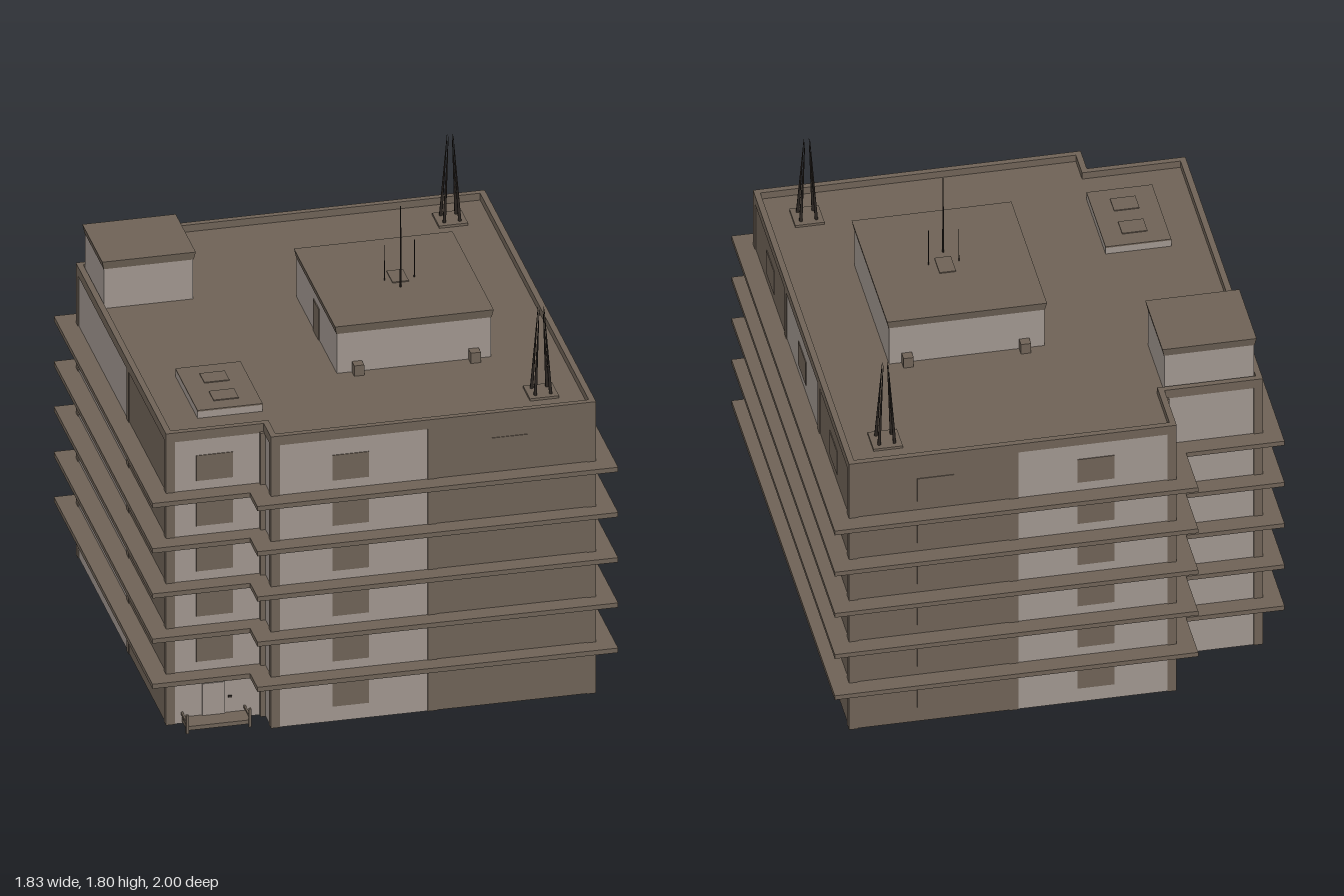
import * as THREE from 'three';

const mat = (name, color, side = THREE.FrontSide) => {
  const m = new THREE.MeshStandardMaterial({ color, side });
  m.name = name;
  return m;
};

export function createModel() {
  const root = new THREE.Group();
  root.name = 'apartmentBlock';
  const brown = mat('brown', 0x6f6357, THREE.DoubleSide);
  const light = mat('light render', 0xa0968f, THREE.DoubleSide);
  const dark = mat('dark metal', 0x2c2622);

  const add = (name, geo, m) => {
    const mesh = new THREE.Mesh(geo, m);
    mesh.name = name;
    root.add(mesh);
    return mesh;
  };
  // Box given by its limits on each axis
  const box = (name, m, x0, x1, y0, y1, z0, z1) => {
    const g = new THREE.BoxGeometry(x1 - x0, y1 - y0, z1 - z0);
    g.translate((x0 + x1) / 2, (y0 + y1) / 2, (z0 + z1) / 2);
    return add(name, g, m);
  };

  // Footprint with the narrower wing on -x, grown outward by o
  const footprint = o => [
    [-0.45 - o, -0.925 - o], [0.84 + o, -0.925 - o], [0.84 + o, 0.925 + o], [-0.45 - o, 0.925 + o],
    [-0.45 - o, 0.805 + o], [-0.84 - o, 0.805 + o], [-0.84 - o, -0.69 - o], [-0.45 - o, -0.69 - o],
  ].map(p => new THREE.Vector2(...p));
  const slab = (name, m, y0, y1, outer, inner) => {
    const s = new THREE.Shape(footprint(outer));
    if (inner !== undefined) s.holes.push(new THREE.Path(footprint(inner)));
    const g = new THREE.ExtrudeGeometry(s, { depth: y1 - y0, bevelEnabled: false });
    g.rotateX(Math.PI / 2).translate(0, y1, 0);
    return add(name, g, m);
  };

  // Walls, running x0,z0 to x1,z1 with thickness inward
  const top = 1.235, t = 0.015;
  box('frontWallLight', light, -0.45, 0.19, 0, top, 0.925 - t, 0.925);
  box('frontWallBrown', brown, 0.19, 0.84, 0, top, 0.925 - t, 0.925);
  box('backWallLight', light, -0.45, 0.19, 0, top, -0.925, -0.925 + t);
  box('backWallBrown', brown, 0.19, 0.84, 0, top, -0.925, -0.925 + t);
  box('rightWallFront', brown, 0.84 - t, 0.84, 0, top, 0.305, 0.925 - t);
  box('rightWallMiddle', light, 0.84 - t, 0.84, 0, top, -0.335, 0.305);
  box('rightWallBack', brown, 0.84 - t, 0.84, 0, top, -0.925 + t, -0.335);
  box('wingFrontWall', light, -0.84, -0.45, 0, top, 0.805 - t, 0.805);
  box('wingBackWall', light, -0.84, -0.45, 0, top, -0.69, -0.69 + t);
  box('wingSideLight', light, -0.84, -0.84 + t, 0, top, -0.69 + t, 0.17);
  box('wingSideBrown', brown, -0.84, -0.84 + t, 0, top, 0.17, 0.805 - t);
  box('frontNotchWall', light, -0.45, -0.45 + t, 0, top, 0.805 - t, 0.925 - t);
  box('backNotchWall', light, -0.45, -0.45 + t, 0, top, -0.925 + t, -0.69 + t);

  // Slightly proud piers at corners and wall joints
  const piers = [
    [-0.436, 0.911], [-0.436, -0.911], [0.19, 0.911], [0.19, -0.911], [0.826, 0.911], [0.826, -0.911],
    [0.826, 0.305], [0.826, -0.335], [-0.826, 0.791], [-0.826, -0.676], [-0.826, 0.17],
    [-0.452, 0.805], [-0.452, -0.69],
  ];
  for (const [x, z] of piers) box('pier', brown, x - 0.018, x + 0.018, 0, top, z - 0.018, z + 0.018);

  // Floor ledges, roof and parapet
  for (let i = 0; i < 5; i++) {
    const y = 0.213 + i * 0.197;
    slab('floorLedge', brown, y - 0.01, y + 0.01, 0.075, -0.022);
  }
  slab('roof', brown, 1.225, 1.24, -0.005);
  slab('parapet', brown, 1.23, 1.27, 0.004, -0.02);

  // Windows on the front, back and right walls
  const w = 0.073, h = 0.055, p = 0.003;
  for (let i = 0; i < 6; i++) {
    const y = 0.12 + i * 0.197;
    for (const x of [-0.135, 0.5]) {
      box('frontWindow', brown, x - w, x + w, y - h, y + h, 0.925, 0.925 + p);
      box('backWindow', brown, x - w, x + w, y - h, y + h, -0.925 - p, -0.925);
    }
    for (const z of [0.605, -0.012, -0.615])
      box('rightWindow', brown, 0.84, 0.84 + p, y - h, y + h, z - w, z + w);
    if (i > 0) box('wingWindow', brown, -0.65 - w, -0.65 + w, y - h, y + h, 0.805, 0.805 + p);
  }

  // Entrance with porch, side rails and call panel
  box('entranceDoor', light, -0.7, -0.61, 0.025, 0.165, 0.805, 0.812);
  box('porchFloor', brown, -0.78, -0.525, 0.01, 0.027, 0.8, 0.89);
  for (const x of [-0.78, -0.53]) {
    box('porchRail', brown, x - 0.004, x + 0.004, 0.04, 0.05, 0.805, 0.9);
    box('porchPost', brown, x - 0.005, x + 0.005, 0, 0.08, 0.89, 0.9);
  }
  for (let i = 0; i < 3; i++)
    box('callPlate', brown, -0.583 + i * 0.015, -0.573 + i * 0.015, 0.165, 0.182, 0.805, 0.81);
  box('doorbell', dark, -0.595, -0.58, 0.092, 0.1, 0.805, 0.81);

  // Roof houses with flared caps
  const roofHouse = (name, x0, x1, z0, z1) => {
    box(name + 'Walls', light, x0, x1, 1.235, 1.425, z0, z1);
    const g = new THREE.BoxGeometry(x1 - x0, 0.035, z1 - z0);
    const pos = g.attributes.position;
    for (let i = 0; i < pos.count; i++) {
      const f = pos.getY(i) > 0 ? 0.009 : 0.002;
      pos.setX(i, pos.getX(i) + Math.sign(pos.getX(i)) * f);
      pos.setZ(i, pos.getZ(i) + Math.sign(pos.getZ(i)) * f);
    }
    g.computeVertexNormals();
    g.translate((x0 + x1) / 2, 1.43, (z0 + z1) / 2);
    add(name + 'Cap', g, brown);
  };
  roofHouse('stairHouse', -0.815, -0.46, -0.66, -0.345);
  roofHouse('plantHouse', -0.065, 0.55, -0.267, 0.403);
  box('plantHouseDoor', brown, -0.069, -0.065, 1.24, 1.375, 0.02, 0.11);
  for (const x of [0.015, 0.48])
    for (const z of [-0.285, 0.423])
      box('ventBox', brown, x - 0.02, x + 0.02, 1.235, 1.285, z - 0.02, z + 0.02);

  // Low rooftop hatch
  box('hatchBase', light, -0.68, -0.42, 1.235, 1.268, 0.28, 0.65);
  box('hatchTop', brown, -0.68, -0.42, 1.268, 1.274, 0.28, 0.65);
  for (const z of [0.39, 0.545]) box('hatchPanel', brown, -0.6, -0.5, 1.274, 1.278, z - 0.04, z + 0.04);

  // Tapered metal rod between two points
  const up = new THREE.Vector3(0, 1, 0);
  const rod = (name, a, b, r0, r1) => {
    const A = new THREE.Vector3(...a), d = new THREE.Vector3(...b).sub(A);
    const m = add(name, new THREE.CylinderGeometry(r1, r0, d.length(), 6), dark);
    m.position.copy(A).addScaledVector(d, 0.5);
    m.quaternion.setFromUnitVectors(up, d.normalize());
  };

  // Four-legged antenna towers
  for (const z of [-0.765, 0.75]) {
    const x = 0.667;
    box('towerBase', brown, x - 0.058, x + 0.058, 1.235, 1.25, z - 0.058, z + 0.058);
    for (const sx of [-1, 1])
      for (const sz of [-1, 1])
        rod('towerLeg', [x + sx * 0.031, 1.245, z + sz * 0.031], [x + sx * 0.01, 1.61, z + sz * 0.01], 0.007, 0.001);
  }

  // Masts on the plant house
  box('mastPlate', brown, 0.23, 0.295, 1.447, 1.452, 0, 0.1);
  rod('mainMast', [0.253, 1.445, 0.138], [0.253, 1.8, 0.138], 0.004, 0.002);
  rod('sideMast', [0.325, 1.445, 0.068], [0.325, 1.61, 0.068], 0.003, 0.0015);
  rod('sideMast', [0.205, 1.445, 0.068], [0.205, 1.6, 0.068], 0.002, 0.001);
  return root;
}
